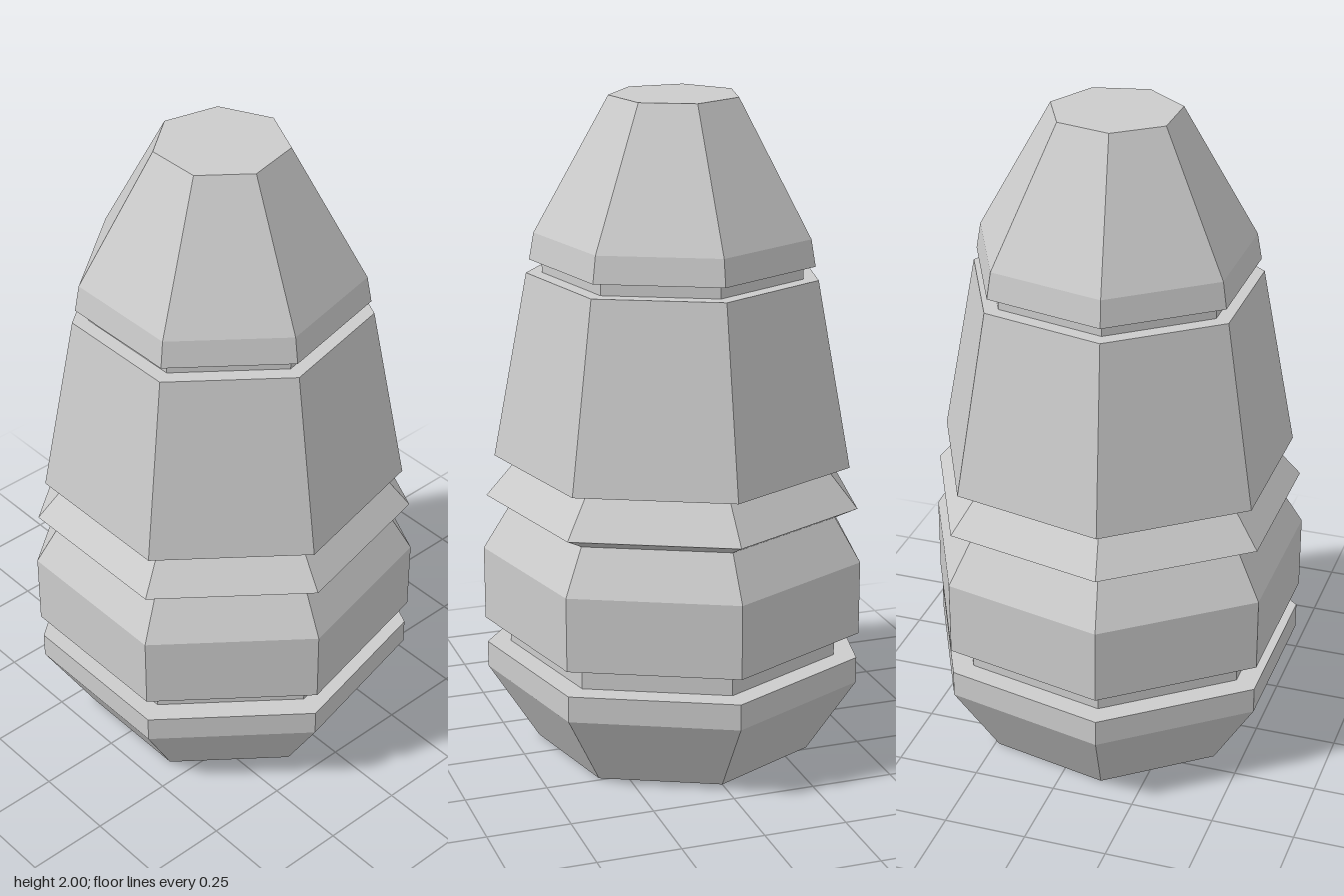
import * as THREE from 'three';

const SIDES = 7;
const AXIS_X = -0.029; // a heptagon with a corner on +x is centred by this shift

const material = new THREE.MeshStandardMaterial({
  color: 0xcccccc,
  flatShading: true,
  side: THREE.DoubleSide, // thin shell, open underneath
});

// Seven-sided ring section from [radius, height] points, listed bottom to top
function section(name, profile) {
  const points = profile.map(([r, y]) => new THREE.Vector2(r, y));
  const geometry = new THREE.LatheGeometry(points, SIDES, Math.PI / 2).toNonIndexed();
  geometry.computeVertexNormals();
  const mesh = new THREE.Mesh(geometry, material);
  mesh.name = name;
  return mesh;
}

export function createModel() {
  const model = new THREE.Group();
  model.name = 'facetedShell';

  const body = new THREE.Group();
  body.name = 'body';
  body.position.x = AXIS_X;
  model.add(body);

  body.add(
    // Flared foot with a short upright rim
    section('base', [[0.428, 0], [0.581, 0.24], [0.581, 0.32], [0.51, 0.32]]),
    // Recess between foot and belly
    section('lowerGroove', [[0.51, 0.32], [0.51, 0.4]]),
    // Widest band, tapering in at its shoulder
    section('belly', [[0.51, 0.4], [0.586, 0.4], [0.586, 0.627], [0.505, 0.76]]),
    // Sharp protruding ring
    section('collar', [[0.505, 0.76], [0.574, 0.795], [0.481, 0.905]]),
    // Tall tapered sleeve
    section('sleeve', [[0.481, 0.905], [0.547, 0.92], [0.442, 1.48], [0.395, 1.48]]),
    // Recess under the nose
    section('upperGroove', [[0.395, 1.48], [0.395, 1.52]]),
    // Nose with a flat closed top
    section('nose', [[0.395, 1.52], [0.432, 1.52], [0.418, 1.6], [0.195, 2]]),
  );

  // Flat lid
  const lid = new THREE.Mesh(new THREE.CircleGeometry(0.195, SIDES), material);
  lid.name = 'topCap';
  lid.rotation.x = -Math.PI / 2;
  lid.position.y = 2;
  body.add(lid);

  return model;
}
